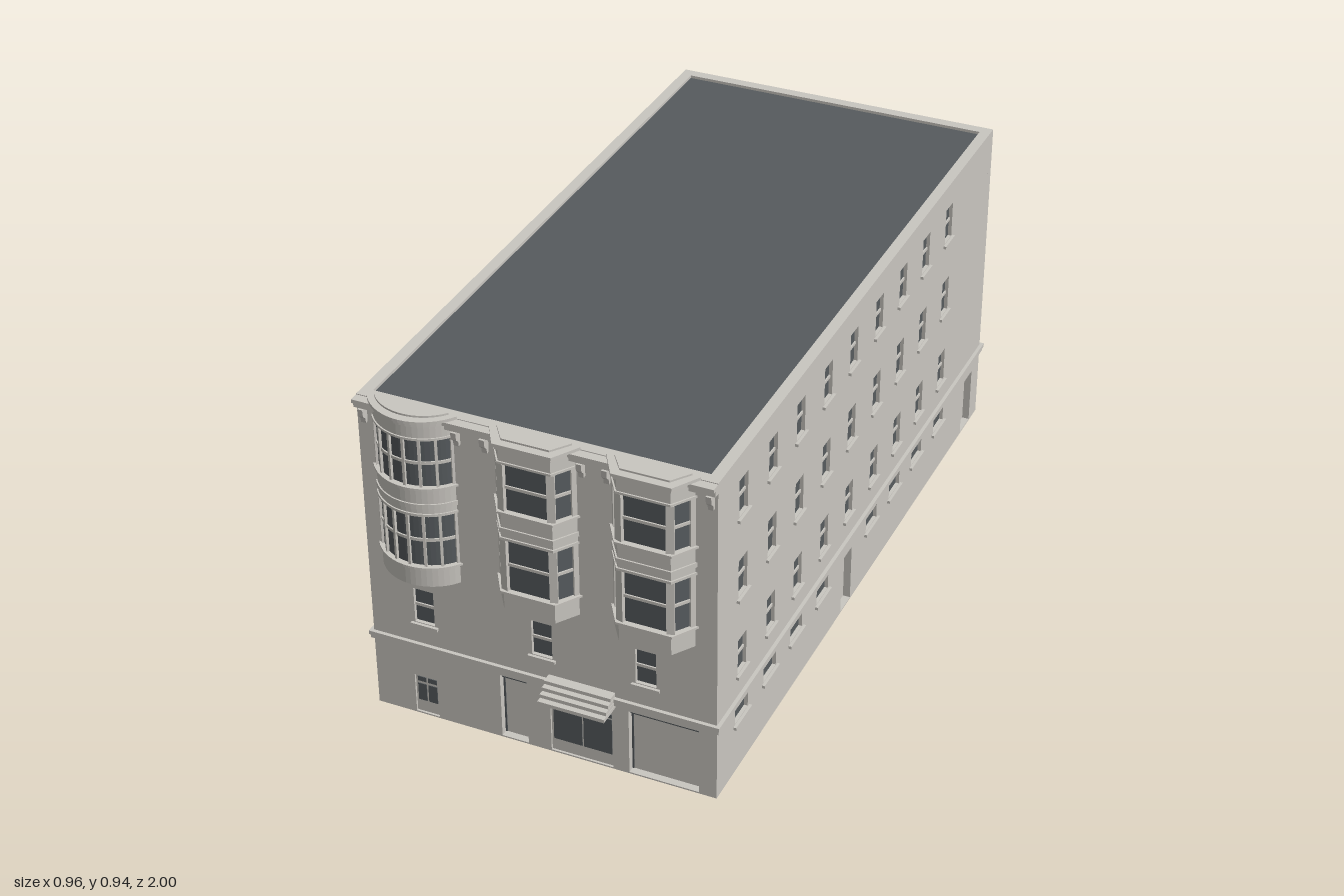
import * as THREE from 'three';

const stone = new THREE.MeshStandardMaterial({ color: 0xc9c6c0 });
stone.name = 'pale stone';
const slate = new THREE.MeshStandardMaterial({ color: 0x565b5e });
slate.name = 'dark slate';

const X = 0.47, FRONT = 0.93, BACK = -0.99, TOP = 0.93, T = 0.03;
const MID = (FRONT + BACK) / 2, LEN = FRONT - BACK;

function add(parent, name, geometry, material = stone) {
  const mesh = new THREE.Mesh(geometry, material);
  mesh.name = name;
  parent.add(mesh);
  return mesh;
}

// Box given by its lower and upper corners
function box(parent, name, x0, x1, y0, y1, z0, z1, material) {
  const mesh = add(parent, name, new THREE.BoxGeometry(x1 - x0, y1 - y0, z1 - z0), material);
  mesh.position.set((x0 + x1) / 2, (y0 + y1) / 2, (z0 + z1) / 2);
  return mesh;
}

// Wall sheet with rectangular openings, between depths z0 and z1
function sheet(parent, name, width, openings, z0, z1) {
  const rect = (Kind, x0, x1, y0, y1) => {
    const p = new Kind();
    p.moveTo(x0, y0); p.lineTo(x1, y0); p.lineTo(x1, y1); p.lineTo(x0, y1); p.closePath();
    return p;
  };
  const shape = rect(THREE.Shape, -width / 2, width / 2, 0, TOP);
  for (const o of openings) shape.holes.push(rect(THREE.Path, o.x0, o.x1, o.y0, o.y1));
  const geometry = new THREE.ExtrudeGeometry(shape, { depth: z1 - z0, bevelEnabled: false });
  geometry.translate(0, 0, z0);
  add(parent, name, geometry);
}

const opening = (kind, x, w, y0, y1) => ({ kind, x0: x - w / 2, x1: x + w / 2, y0, y1 });
const sash = (x, y0, y1, w = 0.052) => opening('sash', x, w, y0, y1);
const vent = (x) => opening('vent', x, 0.08, 0.15, 0.205);
const door = (x, w = 0.07, h = 0.17, transom = false) => ({ ...opening('door', x, w, 0.004, h), transom });

// Wall in its own frame: x along it, z outward, outer face at z = 0
function wall(parent, name, width, openings) {
  const g = new THREE.Group();
  g.name = name;
  parent.add(g);
  sheet(g, 'outerWall', width, openings, -T / 2, 0);
  sheet(g, 'innerWall', width, openings.filter((o) => o.kind === 'door'), -T, -T / 2);
  for (const { kind, x0, x1, y0, y1, transom } of openings) {
    if (kind === 'door') {
      box(g, 'doorPanel', x0, x1, y0, y1, -0.026, -0.02);
      box(g, 'doorGap', x0, x0 + 0.005, y0, y1, -0.02, -0.018, slate);
      if (transom) box(g, 'doorTransom', x0, x1, y1 - 0.014, y1 - 0.003, -0.02, -0.012, slate);
    } else if (kind !== 'panel') {
      box(g, 'windowGlass', x0, x1, y0, y1, -0.0145, -0.01, slate);
      box(g, 'windowSill', x0 - 0.01, x1 + 0.01, y0 - 0.01, y0 - 0.002, -0.005, 0.008);
      if (kind === 'sash') {
        const ym = (y0 + y1) / 2;
        box(g, 'windowRail', x0, x1, ym - 0.004, ym + 0.004, -0.011, -0.006);
      }
    } else {
      box(g, 'framePanel', x0, x1, y0, y1, -0.0145, -0.006);
    }
  }
  return g;
}

// Horizontal slab cut to a plan of [x, z] points
function slab(parent, name, plan, y0, y1, material) {
  const shape = new THREE.Shape(plan.map(([x, z]) => new THREE.Vector2(x, -z)));
  const geometry = new THREE.ExtrudeGeometry(shape, { depth: y1 - y0, bevelEnabled: false });
  geometry.rotateX(-Math.PI / 2);
  geometry.translate(0, y0, 0);
  add(parent, name, geometry, material);
}

// Two-storey bay window following a plan around (cx, FRONT)
function bay(parent, name, cx, plan, postAt, postWidth) {
  const g = new THREE.Group();
  g.name = name;
  parent.add(g);
  const half = plan[plan.length - 1][0];
  const depth = Math.max(...plan.map((p) => p[1]));
  const grow = (o) => plan.map(([x, z]) => [cx + x * (1 + o / half), FRONT + z * (1 + o / depth)]);
  const layers = [
    ['bayFoot', 0.432, 0.441, -0.036], ['bayFoot', 0.441, 0.451, -0.016],
    ['bayApron', 0.451, 0.505, 0], ['baySill', 0.505, 0.511, 0.008],
    ['bayLintel', 0.66, 0.667, 0.004], ['bayPanel', 0.667, 0.74, 0],
    ['bayMoulding', 0.682, 0.695, 0.004], ['baySill', 0.737, 0.743, 0.008],
    ['bayFrieze', 0.875, 0.922, 0], ['bayLintel', 0.877, 0.883, 0.004],
    ['bayCornice', 0.918, 0.928, 0.007], ['bayCornice', 0.928, 0.936, 0.013],
    ['bayCap', 0.936, 0.941, -0.008],
  ];
  for (const [part, y0, y1, o] of layers) slab(g, part, grow(o), y0, y1);
  for (const [y0, y1, rail] of [[0.511, 0.66, 0.587], [0.743, 0.875, 0.81]]) {
    slab(g, 'bayGlass', grow(-0.007), y0, y1, slate);
    slab(g, 'bayRail', grow(-0.003), rail - 0.004, rail + 0.004);
    const pts = grow(-0.005);
    for (const i of postAt) {
      const a = pts[Math.max(i - 1, 0)], b = pts[Math.min(i + 1, pts.length - 1)];
      const post = box(g, 'bayPost', -postWidth / 2, postWidth / 2, y0, y1, -0.005, 0.005);
      post.position.x = pts[i][0];
      post.position.z = pts[i][1];
      post.rotation.y = -Math.atan2(b[1] - a[1], b[0] - a[0]);
    }
  }
}

export function createModel() {
  const model = new THREE.Group();
  model.name = 'cornerBuilding';
  const rows = [[0.295, 0.395], [0.525, 0.63], [0.757, 0.86]];
  const grid = (cols) => cols.flatMap((x) => rows.map(([a, b]) => sash(x, a, b)));

  // Front wall with its ground-floor openings
  const front = wall(model, 'frontWall', 2 * X, [
    ...[-0.321, 0.004, 0.283].map((x) => sash(x, 0.291, 0.393, 0.055)),
    opening('panel', -0.328, 0.066, 0.004, 0.12),
    opening('panel', 0.106, 0.17, 0.004, 0.17),
    door(-0.08, 0.074, 0.195, true), door(0.329, 0.188, 0.195, true),
  ]);
  front.position.z = FRONT;
  const panes = [
    [-0.355, -0.331, 0.04, 0.092], [-0.326, -0.301, 0.04, 0.092],
    [-0.355, -0.331, 0.1, 0.114], [-0.326, -0.301, 0.1, 0.114],
    [0.027, 0.105, 0.04, 0.148], [0.109, 0.187, 0.04, 0.148],
    [0.027, 0.105, 0.153, 0.164], [0.109, 0.187, 0.153, 0.164],
  ];
  for (const [x0, x1, y0, y1] of panes) box(front, 'shopPane', x0, x1, y0, y1, -0.007, -0.004, slate);
  box(front, 'shopBacking', 0.025, 0.187, 0.01, 0.165, -0.034, -T, slate);

  // Stepped canopy over the shop window
  for (let i = 0; i < 4; i++) {
    box(front, 'canopyStep', 0.02, 0.2, 0.195 + i * 0.012, 0.205 + i * 0.012, 0, 0.066 - i * 0.013);
  }

  // Side and back walls
  const rightCols = [0.78, 0.6, 0.425, 0.245, 0.07, -0.11, -0.285, -0.46, -0.64].map((z) => MID - z);
  const right = wall(model, 'leftSideWall', LEN, [
    ...grid(rightCols), ...rightCols.filter((_, i) => i !== 4).map(vent),
    door(MID - 0.07), door(MID + 0.89, 0.078),
  ]);
  right.position.set(X, 0, MID);
  right.rotation.y = Math.PI / 2;

  const leftCols = Array.from({ length: 9 }, (_, i) => (i - 4) * 0.195 - MID);
  const left = wall(model, 'rightSideWall', LEN, [
    ...grid(leftCols), ...leftCols.filter((_, i) => i !== 4).map(vent), door(leftCols[4]),
  ]);
  left.position.set(-X, 0, MID);
  left.rotation.y = -Math.PI / 2;

  const backCols = [-0.33, -0.165, 0, 0.165, 0.33];
  const back = wall(model, 'backWall', 2 * X, [
    ...grid(backCols), ...backCols.filter((x) => x !== 0).map(vent), door(0),
  ]);
  back.position.z = BACK;
  back.rotation.y = Math.PI;

  // Belt course around the building
  for (const [w, e] of [[0.206, 0.007], [0.217, 0.01]]) {
    const y1 = w + 0.011;
    for (const s of [-1, 1]) {
      box(model, 'sideBelt', Math.min(s * X, s * (X + e)), Math.max(s * X, s * (X + e)), w, y1, BACK - e, FRONT + e);
    }
    box(model, 'frontBelt', -X, X, w, y1, FRONT, FRONT + e);
    box(model, 'backBelt', -X, X, w, y1, BACK - e, BACK);
  }

  // Flat roof inside the parapet
  box(model, 'roof', -X + T, X - T, 0.912, 0.922, BACK + T, FRONT - T, slate);

  // Eaves cornice and its brackets
  box(model, 'eavesCornice', -X, X, 0.902, 0.918, FRONT, FRONT + 0.016);
  box(model, 'eavesCap', -X, X, 0.918, 0.928, FRONT, FRONT + 0.025);
  const profile = new THREE.Shape([[0, 0.86], [0.008, 0.858], [0.01, 0.872], [0.02, 0.882], [0.022, 0.902], [0, 0.902]]
    .map(([z, y]) => new THREE.Vector2(z, y)));
  for (const x of [-0.45, -0.2, -0.125, 0.127, 0.192, 0.455]) {
    const geometry = new THREE.ExtrudeGeometry(profile, { depth: 0.014, bevelEnabled: false });
    geometry.rotateY(-Math.PI / 2);
    geometry.translate(x + 0.007, 0, FRONT);
    add(model, 'eavesBracket', geometry);
  }

  // One round bay and two angled bays
  const sag = 0.056, half = 0.108, R = (half * half + sag * sag) / (2 * sag), sweep = Math.asin(half / R);
  const arc = Array.from({ length: 19 }, (_, i) => {
    const a = sweep * (i / 9 - 1);
    return [R * Math.sin(a), R * Math.cos(a) - R + sag];
  });
  bay(model, 'roundBay', -0.32, arc, [0, 3, 6, 9, 12, 15, 18], 0.007);
  const angled = [[-0.106, 0], [-0.068, 0.056], [0.068, 0.056], [0.106, 0]];
  for (const x of [0.004, 0.308]) bay(model, 'angledBay', x, angled, [0, 1, 2, 3], 0.02);

  return model;
}
